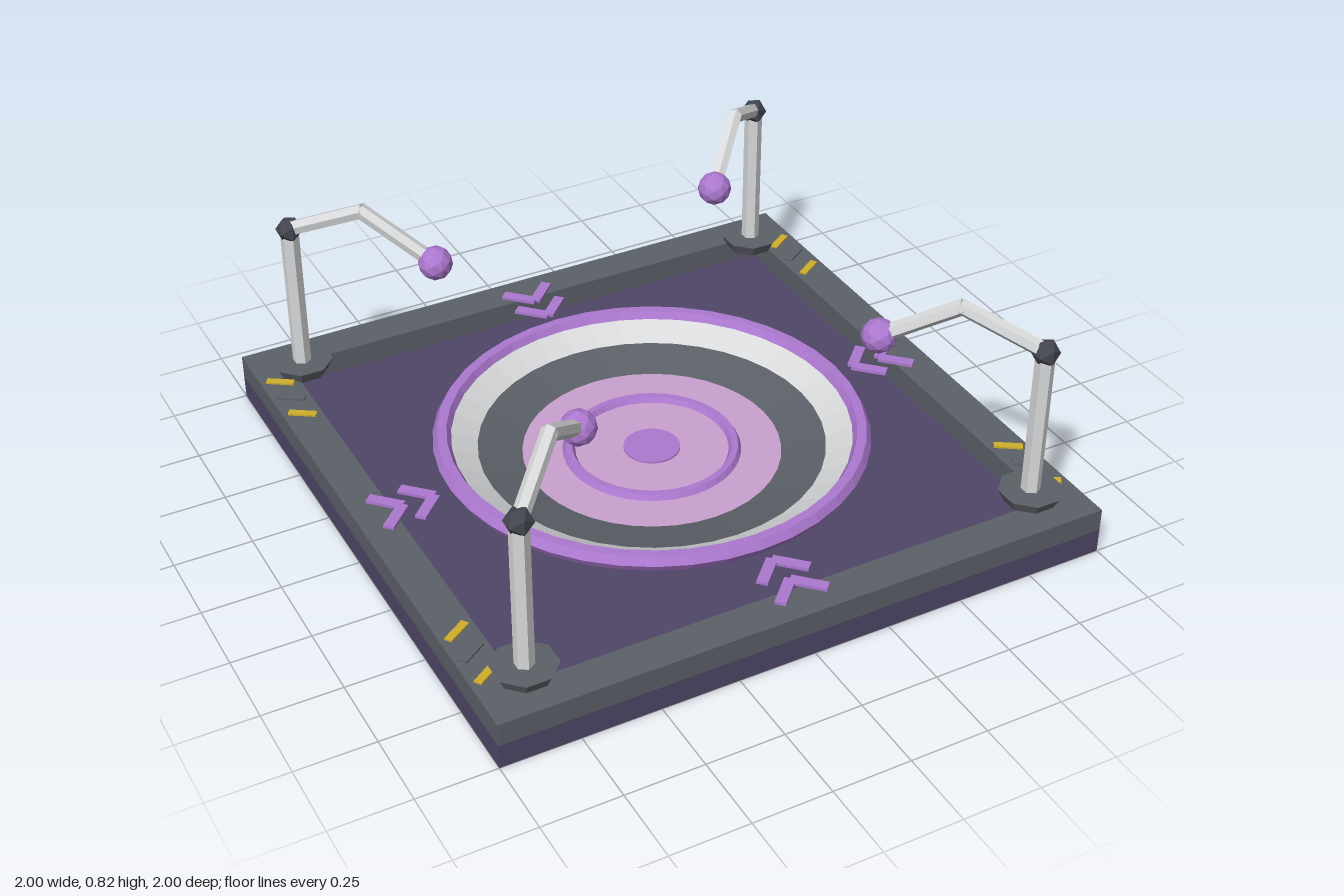
import * as THREE from 'three';

const mat = (name, color, extra = {}) => {
  const m = new THREE.MeshStandardMaterial({ color, flatShading: true, ...extra });
  m.name = name;
  return m;
};

export function createModel() {
  const group = new THREE.Group();
  const darkPurple = mat('darkPurple', 0x504668);
  const grey = mat('grey', 0x5c6068, { side: THREE.DoubleSide });
  const joint = mat('jointGrey', 0x44464f);
  const white = mat('white', 0xd8d9da, { side: THREE.DoubleSide });
  const purple = mat('purple', 0xac78d0);
  const pink = mat('pink', 0xc8a2cf);
  const yellow = mat('yellow', 0xd0ae2c);

  const add = (name, geo, material, x = 0, y = 0, z = 0, parent = group) => {
    const mesh = new THREE.Mesh(geo, material);
    mesh.name = name;
    mesh.position.set(x, y, z);
    parent.add(mesh);
    return mesh;
  };

  // Floor slab with a raised square frame on it
  add('floorSlab', new THREE.BoxGeometry(2, 0.08, 2), darkPurple, 0, 0.04, 0);
  const square = (S, h) => new S([[-h, -h], [h, -h], [h, h], [-h, h]].map(p => new THREE.Vector2(...p)));
  const frame = square(THREE.Shape, 1);
  frame.holes.push(square(THREE.Path, 0.88));
  const frameGeo = new THREE.ExtrudeGeometry(frame, { depth: 0.075, bevelEnabled: false });
  add('frame', frameGeo.rotateX(-Math.PI / 2), grey, 0, 0.08, 0);

  // Shallow dish made of concentric bands
  const band = (r0, y0, r1, y1) =>
    new THREE.LatheGeometry([new THREE.Vector2(r0, y0), new THREE.Vector2(r1, y1)], 40);
  const torus = (r, t) => new THREE.TorusGeometry(r, t, 6, 40).rotateX(-Math.PI / 2);
  add('dishRim', torus(0.66, 0.03), purple, 0, 0.16, 0);
  add('dishOuterBand', band(0.55, 0.12, 0.645, 0.17), white);
  add('dishInnerBand', band(0.41, 0.09, 0.55, 0.12), grey);
  add('dishFloor', new THREE.CylinderGeometry(0.41, 0.41, 0.01, 40), pink, 0, 0.085, 0);
  add('innerRing', torus(0.263, 0.02), purple, 0, 0.09, 0);
  add('centreDisc', new THREE.CylinderGeometry(0.09, 0.09, 0.008, 32), purple, 0, 0.092, 0);

  // Two chevrons on each side, pointing inwards
  for (let i = 0; i < 4; i++) {
    const chevrons = new THREE.Group();
    chevrons.name = 'chevrons';
    chevrons.rotation.y = i * Math.PI / 2;
    group.add(chevrons);
    for (const z of [0.785, 0.888]) for (const s of [-1, 1]) {
      const bar = add('chevronBar', new THREE.BoxGeometry(0.115, 0.01, 0.035), purple, s * 0.04, 0.162, z, chevrons);
      bar.rotation.y = -s * Math.PI / 4;
    }
  }

  // Six-sided rod between two points
  const rod = (name, a, b, r, material, parent) => {
    const d = b.clone().sub(a);
    const mesh = add(name, new THREE.CylinderGeometry(r, r, d.length(), 6), material, 0, 0, 0, parent);
    mesh.position.copy(a).add(b).multiplyScalar(0.5);
    mesh.quaternion.setFromUnitVectors(new THREE.Vector3(0, 1, 0), d.normalize());
  };

  // Corner arms and hazard stripes
  for (const sx of [-1, 1]) for (const sz of [-1, 1]) {
    const arm = new THREE.Group();
    arm.name = 'cornerArm';
    group.add(arm);
    const at = (k, y) => new THREE.Vector3(sx * k, y, sz * k);
    const c = 0.845;
    add('armFoot', new THREE.CylinderGeometry(0.1, 0.08, 0.04, 8).rotateY(Math.PI / 8), grey, sx * c, 0.17, sz * c, arm);
    rod('mast', at(c, 0.15), at(c, 0.68), 0.03, white, arm);
    add('shoulderJoint', new THREE.IcosahedronGeometry(0.044, 0), joint, sx * c, 0.682, sz * c, arm);
    rod('upperArm', at(c, 0.685), at(0.66, 0.795), 0.025, white, arm);
    rod('lowerArm', at(0.67, 0.795), at(0.5, 0.65), 0.025, white, arm);
    add('emitterBall', new THREE.IcosahedronGeometry(0.055, 1), purple, sx * 0.497, 0.647, sz * 0.497, arm);

    [0.6, 0.7, 0.8].forEach((z, i) => {
      const stripe = add(i === 1 ? 'greyStripe' : 'yellowStripe', new THREE.BoxGeometry(0.09, 0.008, 0.025),
        i === 1 ? grey : yellow, sx * 0.94, 0.157, sz * z);
      stripe.rotation.y = -sx * sz * 0.58;
    });
  }
  return group;
}
